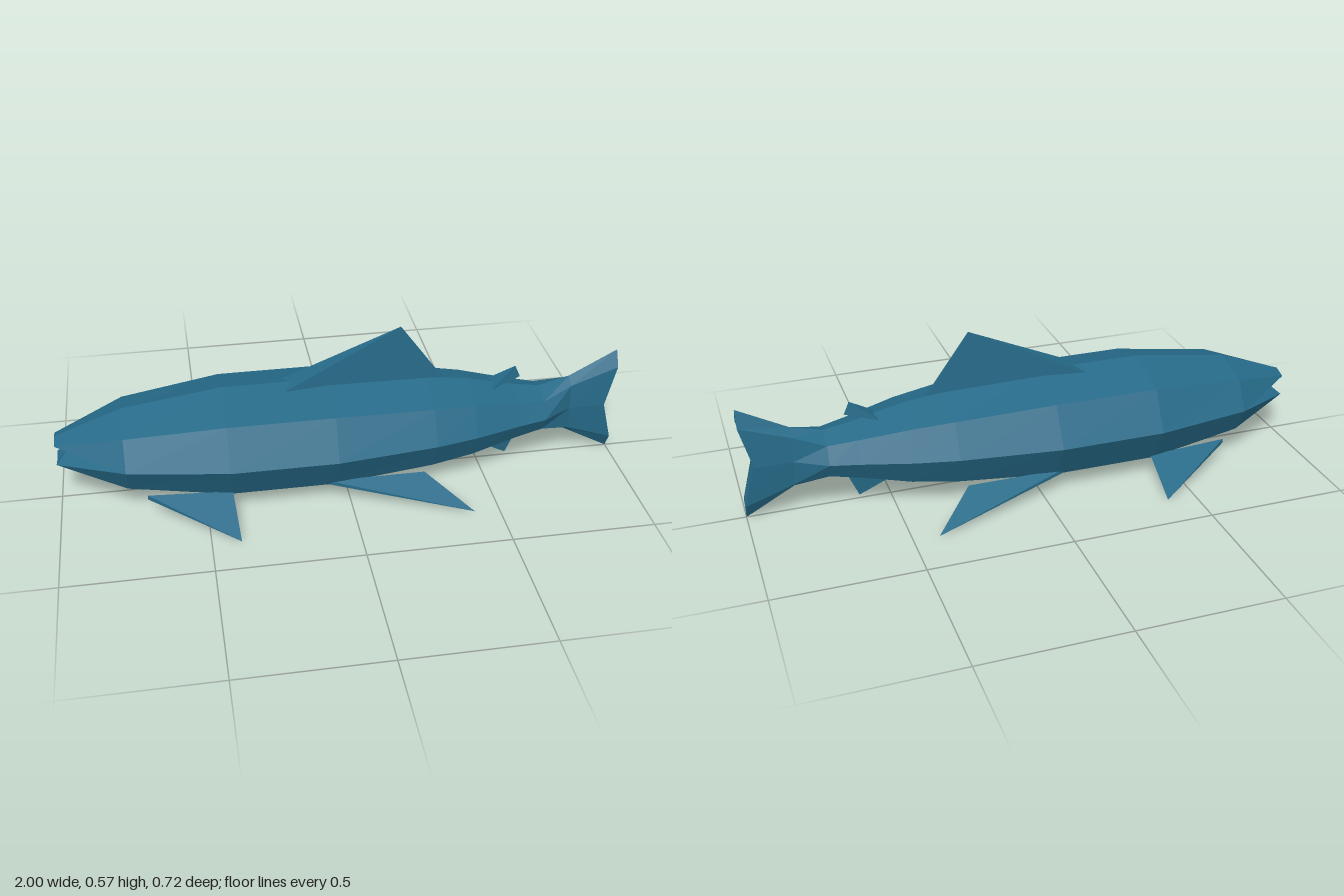
import * as THREE from 'three';

const MID = 0.207; // height of the side line

// Non-indexed geometry from a list of triangles, each three [x, y, z] corners
function fromTriangles(triangles) {
  const geometry = new THREE.BufferGeometry();
  geometry.setAttribute('position', new THREE.Float32BufferAttribute(triangles.flat(2), 3));
  geometry.computeVertexNormals();
  return geometry;
}

// Eight-sided section: top, shoulder, side, belly edge, bottom and mirrored back up.
// sideX lets the side corners sit ahead of or behind the rest of the ring.
function section([x, top, shoulderY, shoulderZ, sideZ, bellyY, bottom, sideX = x]) {
  return [
    [x, top, 0], [x, shoulderY, shoulderZ], [sideX, MID, sideZ], [x, bellyY, shoulderZ],
    [x, bottom, 0], [x, bellyY, -shoulderZ], [sideX, MID, -sideZ], [x, shoulderY, -shoulderZ],
  ];
}

function bodyGeometry() {
  const rings = [
    [-1, 0.257, 0.243, 0.045, 0.195, 0.168, 0.157, -0.768], // open jaws
    [-0.765, 0.345, 0.307, 0.14, 0.197, 0.108, 0.07],
    [-0.42, 0.395, 0.343, 0.18, 0.254, 0.073, 0.02],
    [-0.05, 0.395, 0.343, 0.18, 0.254, 0.073, 0.02],
    [0.3, 0.366, 0.322, 0.151, 0.212, 0.093, 0.046],
    [0.45, 0.346, 0.307, 0.128, 0.18, 0.108, 0.069],
    [0.62, 0.306, 0.279, 0.092, 0.13, 0.137, 0.11],
    [0.72, 0.29, 0.265, 0.073, 0.105, 0.15, 0.127],
    [0.83, 0.32, 0.295, 0.033, 0.04, 0.119, 0.095],
    [1, 0.412, 0.355, 0.03, 0.04, 0.06, 0.003, 0.96], // notched tail edge
  ].map(section);
  const triangles = [];
  const last = rings.length - 1;
  for (let j = 0; j < 8; j++) {
    const k = (j + 1) % 8;
    for (let i = 0; i < last; i++) {
      const a = rings[i], b = rings[i + 1];
      triangles.push([a[j], a[k], b[j]], [a[k], b[k], b[j]]);
    }
    triangles.push([[-0.955, MID, 0], rings[0][k], rings[0][j]]); // mouth
    triangles.push([[0.96, MID, 0], rings[last][j], rings[last][k]]); // tail end
  }
  return fromTriangles(triangles);
}

// Four-cornered fin: two front root corners, a rear root corner and a tip
function finGeometry(a, b, rear, tip) {
  const v = (p) => new THREE.Vector3(...p);
  const outward = v(b).sub(v(a)).cross(v(rear).sub(v(a))).dot(v(tip).sub(v(a))) < 0;
  if (!outward) [a, b] = [b, a];
  return fromTriangles([[a, b, rear], [b, a, tip], [rear, b, tip], [a, rear, tip]]);
}

export function createModel() {
  const fish = new THREE.Group();
  fish.name = 'fish';
  const skin = new THREE.MeshStandardMaterial({ color: 0x266a88 });
  skin.name = 'blue skin';
  skin.flatShading = true;

  const add = (name, geometry) => {
    const mesh = new THREE.Mesh(geometry, skin);
    mesh.name = name;
    fish.add(mesh);
  };

  add('bodyAndTail', bodyGeometry());

  // Fins on the centre line
  add('dorsalFin', finGeometry(
    [-0.205, 0.382, 0.046], [-0.205, 0.382, -0.046], [0.37, 0.348, 0], [0.205, 0.575, 0]));
  add('rearDorsalFin', finGeometry(
    [0.53, 0.312, 0.04], [0.53, 0.312, -0.04], [0.645, 0.335, 0], [0.625, 0.38, 0]));
  add('analFin', finGeometry(
    [0.5, 0.095, 0.046], [0.5, 0.095, -0.046], [0.645, 0.095, 0], [0.61, 0.015, 0]));

  // Paired fins under each flank
  for (const [side, s] of [['front', 1], ['back', -1]]) {
    add(side + 'PectoralFin', finGeometry(
      [-0.7, 0.092, 0.17 * s], [-0.7, 0.076, 0.17 * s], [-0.41, 0.083, 0.18 * s], [-0.4, 0.003, 0.36 * s]));
    add(side + 'PelvicFin', finGeometry(
      [-0.08, 0.088, 0.18 * s], [-0.08, 0.074, 0.18 * s], [0.265, 0.084, 0.175 * s], [0.412, 0.006, 0.33 * s]));
  }
  return fish;
}
